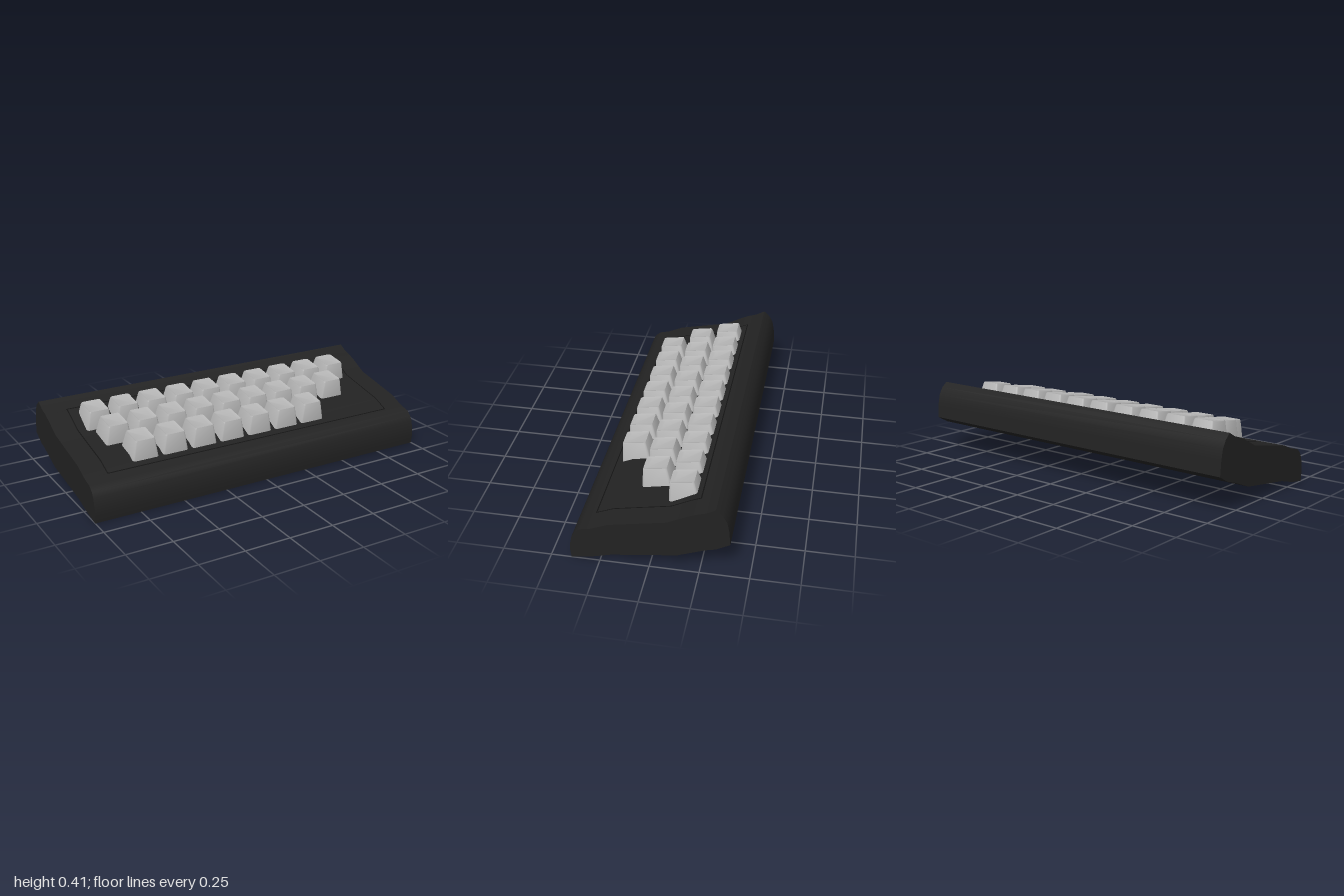
import * as THREE from 'three';
import { toCreasedNormals, mergeVertices } from 'three/addons/utils/BufferGeometryUtils.js';

const caseBlack = new THREE.MeshStandardMaterial({ color: 0x222222 });
const seamBlack = new THREE.MeshStandardMaterial({ color: 0x121212 });
const keyGrey = new THREE.MeshStandardMaterial({ color: 0xb4b4b4 });

// Case side profile as [z, y]
const top = [[0.345, 0.187], [0.29, 0.199], [0.2, 0.237], [0.1, 0.257], [-0.09, 0.295],
  [-0.19, 0.346], [-0.23, 0.363], [-0.28, 0.379], [-0.327, 0.405]];
const back = [[-0.36, 0.376], [-0.382, 0.337], [-0.393, 0.285], [-0.4, 0.202]];
const bottom = [[-0.33, 0.163], [-0.28, 0.15], [-0.14, 0.095], [0.19, 0.047], [0.3, 0.016], [0.395, 0.001]];
const front = [[0.4, 0.045], [0.399, 0.085], [0.388, 0.135], [0.373, 0.163]];

// Height of the case top at depth z
function topY(z) {
  for (let i = 1; i < top.length; i++) {
    const [za, ya] = top[i - 1], [zb, yb] = top[i];
    if (z >= zb) return ya + (yb - ya) * (za - z) / (za - zb);
  }
  return top[top.length - 1][1];
}

function makeCase() {
  const shape = new THREE.Shape([...top, ...back, ...bottom, ...front].map(([z, y]) => new THREE.Vector2(-z, y)));
  const geo = new THREE.ExtrudeGeometry(shape, { depth: 2, bevelEnabled: false });
  geo.rotateY(Math.PI / 2).translate(-1, 0, 0);
  const mesh = new THREE.Mesh(toCreasedNormals(geo, 0.6), caseBlack);
  mesh.name = 'case';
  return mesh;
}

// Thin strip that follows the case top
function makeSeam(x, z, width, depth) {
  const geo = new THREE.PlaneGeometry(width, depth, 1, depth > 0.1 ? 48 : 1);
  geo.rotateX(-Math.PI / 2).translate(x, 0, z);
  const p = geo.attributes.position;
  for (let i = 0; i < p.count; i++) p.setY(i, topY(p.getZ(i)) + 0.0015);
  geo.computeVertexNormals();
  const mesh = new THREE.Mesh(geo, seamBlack);
  mesh.name = 'panelSeam';
  return mesh;
}

// Rounded rectangle loop, its height running from yf at the front to yb at the back
function ring(hw, zf, zb, yf, yb, r) {
  const pts = [];
  const corners = [[hw - r, zf - r, 0], [hw - r, zb + r, 1], [-hw + r, zb + r, 2], [-hw + r, zf - r, 3]];
  for (const [cx, cz, q] of corners) {
    for (let k = 0; k <= 2; k++) {
      const a = (q + k / 2 - 1) * Math.PI / 2;
      const z = cz - r * Math.sin(a);
      pts.push([cx + r * Math.cos(a), yf + (yb - yf) * (zf - z) / (zf - zb), z]);
    }
  }
  return pts;
}

// Tapered keycap with a shallow dished top; origin at its front top edge
function makeKeyGeometry() {
  const rings = [
    ring(0.077, 0, -0.158, -0.125, -0.095, 0.012),
    ring(0.057, 0, -0.126, -0.006, 0.012, 0.01),
    ring(0.054, -0.002, -0.123, 0, 0.018, 0.01),
    ring(0.044, -0.022, -0.113, -0.002, 0.012, 0.01),
  ];
  const n = rings[0].length, pos = rings.flat(2), idx = [];
  for (let r = 0; r < rings.length - 1; r++) {
    for (let i = 0; i < n; i++) {
      const a = r * n + i, b = r * n + (i + 1) % n;
      idx.push(a, b, b + n, a, b + n, a + n);
    }
  }
  // Close the top and the underside
  const last = (rings.length - 1) * n;
  for (let i = 1; i < n - 1; i++) idx.push(last, last + i, last + i + 1, 0, i + 1, i);
  const geo = new THREE.BufferGeometry();
  geo.setAttribute('position', new THREE.Float32BufferAttribute(pos, 3));
  geo.setIndex(idx);
  return toCreasedNormals(mergeVertices(geo), 0.8);
}

export function createModel() {
  const model = new THREE.Group();
  model.name = 'keyboard';
  model.add(makeCase());

  // Panel outline on the case top
  for (const side of [-1, 1]) model.add(makeSeam(side * 0.876, 0.025, 0.006, 0.53));
  for (const z of [-0.238, 0.288]) model.add(makeSeam(0, z, 1.752, 0.006));

  // Three staggered rows of keys
  const keyGeo = makeKeyGeometry();
  const rows = [
    { name: 'backRow', count: 10, x: -0.757, pitch: 0.169, z: -0.069, y: 0.392 },
    { name: 'middleRow', count: 9, x: -0.72, pitch: 0.1695, z: 0.092, y: 0.36 },
    { name: 'frontRow', count: 7, x: -0.646, pitch: 0.172, z: 0.255, y: 0.322 },
  ];
  for (const { name, count, x, pitch, z, y } of rows) {
    const row = new THREE.Group();
    row.name = name;
    for (let i = 0; i < count; i++) {
      const key = new THREE.Mesh(keyGeo, keyGrey);
      key.name = 'key';
      key.position.set(x + i * pitch, y, z);
      row.add(key);
    }
    model.add(row);
  }
  return model;
}
